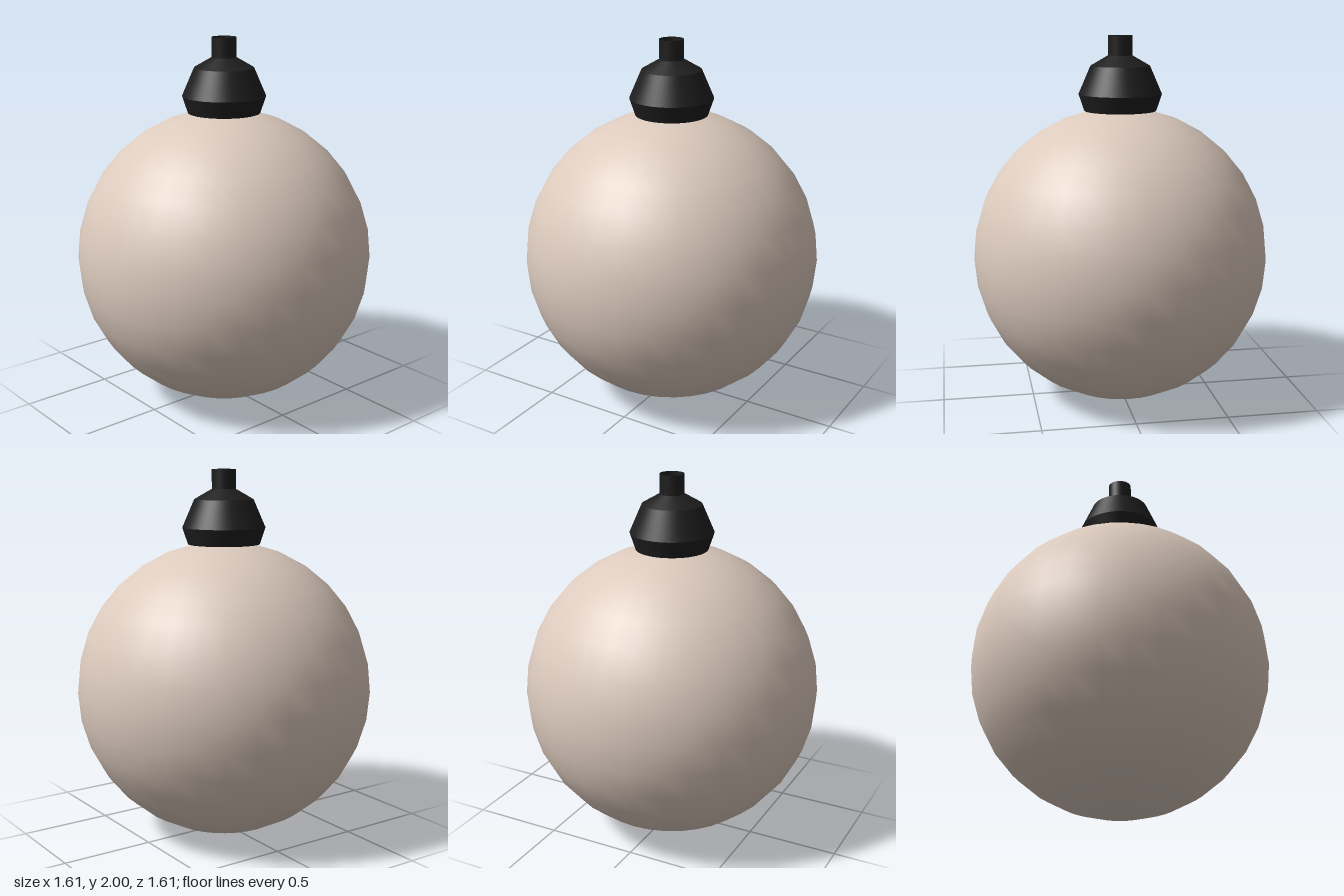
import * as THREE from 'three';

export function createModel() {
  const model = new THREE.Group();
  const glass = new THREE.MeshStandardMaterial({ name: 'warm beige glass', color: 0xdccabd, side: THREE.DoubleSide });
  const black = new THREE.MeshStandardMaterial({ name: 'black fitting', color: 0x1e1e1e, side: THREE.DoubleSide });

  function add(name, geometry, material, y, parent = model) {
    const mesh = new THREE.Mesh(geometry, material);
    mesh.name = name;
    mesh.position.y = y;
    parent.add(mesh);
    return mesh;
  }

  // Globe: 32 x 16 segments, the lowest ring is a separate end cap
  const radius = 0.807, centre = 0.807, step = Math.PI / 16;
  add('globe', new THREE.SphereGeometry(radius, 32, 15, 0, Math.PI * 2, 0, Math.PI - step), glass, centre);

  // Shallow end cap, shaded as one flat face
  const cap = new THREE.CircleGeometry(radius * Math.sin(step), 32);
  cap.rotateX(Math.PI / 2);
  cap.attributes.position.setY(0, -radius * (1 - Math.cos(step)));
  add('globeEndCap', cap, glass, centre - radius * Math.cos(step));

  // Lamp holder: stacked open bands with crisp edges, hollow through the neck
  const holder = new THREE.Group();
  holder.name = 'lampHolder';
  model.add(holder);
  const profile = [[0.195, 1.6], [0.225, 1.69], [0.16, 1.84], [0.065, 1.895], [0.065, 2]];
  const names = ['holderSkirt', 'holderBody', 'holderShoulder', 'holderNeck'];
  names.forEach((name, i) => {
    const [r0, y0] = profile[i], [r1, y1] = profile[i + 1];
    add(name, new THREE.CylinderGeometry(r1, r0, y1 - y0, 48, 1, true), black, (y0 + y1) / 2, holder);
  });

  return model;
}
